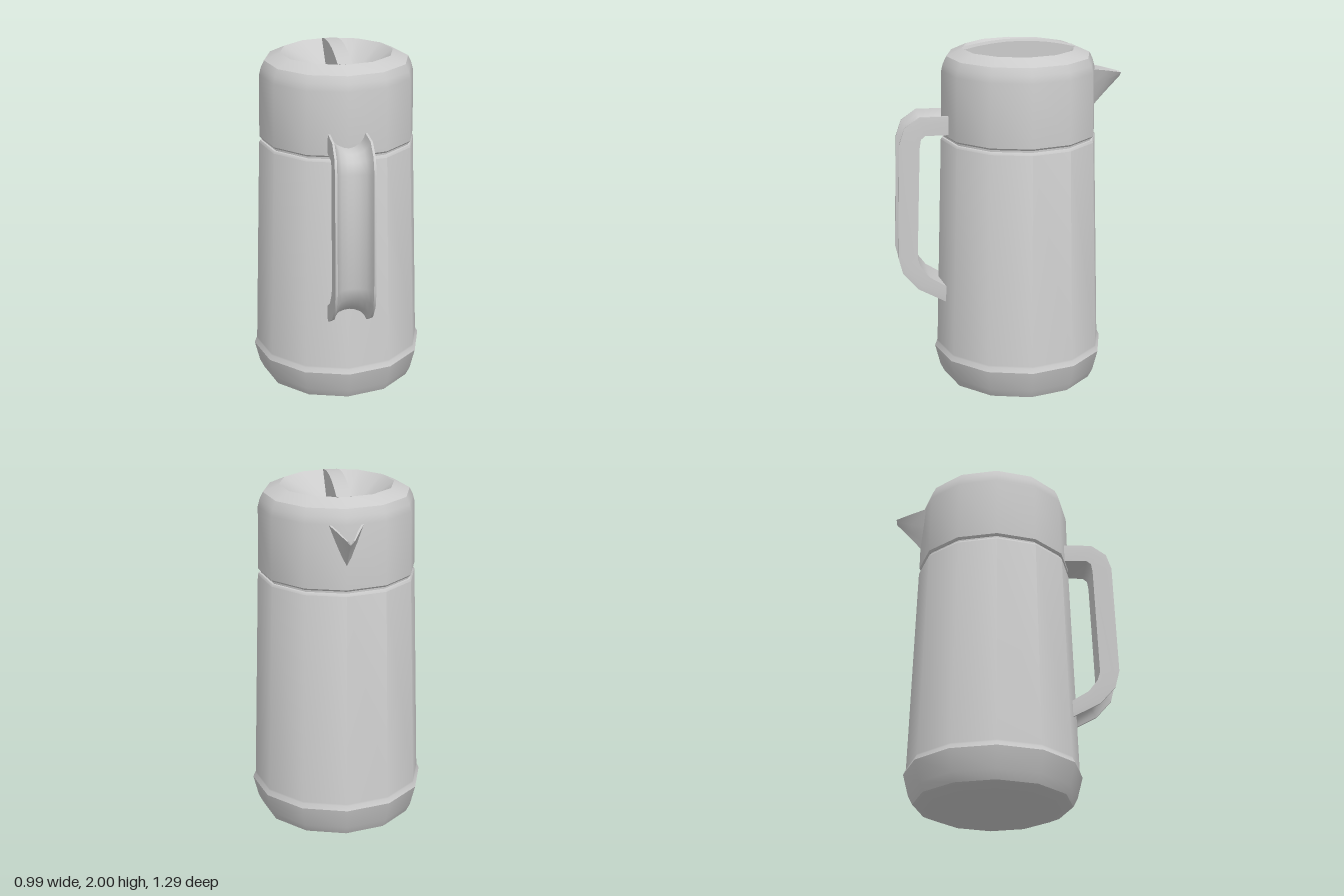
import * as THREE from 'three';
import { toCreasedNormals } from 'three/addons/utils/BufferGeometryUtils.js';

const grey = new THREE.MeshStandardMaterial({ color: 0xcccccc });
const greyDouble = new THREE.MeshStandardMaterial({ color: 0xcccccc, side: THREE.DoubleSide });
const AXIS_Z = -0.06; // the round body sits behind the handle
const SIDES = 12;

function addMesh(group, name, geometry, material = grey, crease = 0.6) {
  const mesh = new THREE.Mesh(toCreasedNormals(geometry, crease), material);
  mesh.name = name;
  group.add(mesh);
  return mesh;
}

function turned(profile) {
  return new THREE.LatheGeometry(profile.map(([r, y]) => new THREE.Vector2(r, y)), SIDES);
}

// Skin a list of closed rings of [x, y, z], with optional fan caps at both ends
function loft(rings, caps) {
  const n = rings[0].length;
  const pos = rings.flat(2);
  const index = [];
  for (let i = 0; i < rings.length - 1; i++) {
    for (let j = 0; j < n; j++) {
      const a = i * n + j, b = i * n + (j + 1) % n;
      index.push(a, b, b + n, a, b + n, a + n);
    }
  }
  if (caps) {
    [0, rings.length - 1].forEach((ring, end) => {
      const flat = rings[ring].map(([x, y]) => new THREE.Vector2(x, y));
      for (const [a, b, c] of THREE.ShapeUtils.triangulateShape(flat, [])) {
        const o = ring * n;
        index.push(o + a, o + (end ? b : c), o + (end ? c : b));
      }
    });
  }
  const geometry = new THREE.BufferGeometry();
  geometry.setAttribute('position', new THREE.Float32BufferAttribute(pos, 3));
  geometry.setIndex(index);
  return geometry;
}

// Channel-shaped grip: each station holds outer and inner [z, y] points
function handleGeometry() {
  const stations = [
    [[0.34, 1.605], [0.34, 1.5]],
    [[0.51, 1.605], [0.48, 1.5]],
    [[0.595, 1.545], [0.505, 1.48]],
    [[0.625, 1.455], [0.513, 1.43]],
    [[0.647, 0.8], [0.537, 0.79]],
    [[0.622, 0.7], [0.522, 0.74]],
    [[0.535, 0.6], [0.47, 0.67]],
    [[0.36, 0.505], [0.36, 0.6]],
  ];
  // [x, share of the way from outer to inner side]
  const half = [[0.03, 0.66], [0.065, 0.5], [0.085, 0.25], [0.095, 0], [0.107, 0], [0.11, 0.3], [0.11, 1]];
  const section = [[0, 0.7], ...half, ...half.slice().reverse().map(([x, d]) => [-x, d])];
  const rings = stations.map(([o, i], k) => {
    const wide = 1 + 0.07 * k / (stations.length - 1);
    return section.map(([x, d]) => [x * wide, o[1] + (i[1] - o[1]) * d, o[0] + (i[0] - o[0]) * d]);
  });
  return loft(rings, true);
}

// Open V-shaped lip tapering from the lid wall to a narrow tip
function spoutGeometry() {
  const stations = [ // z at rim, z at keel, rim y, keel y, half width
    [-0.455, -0.48, 1.84, 1.6, 0.098],
    [-0.55, -0.555, 1.822, 1.685, 0.06],
    [-0.645, -0.64, 1.8, 1.775, 0.022],
  ];
  const steps = [-1, -0.6, -0.25, 0, 0.25, 0.6, 1];
  const rings = stations.map(([zr, zk, yr, yk, w]) => {
    const at = (t, inset) => {
      const s = Math.abs(t) ** 1.15;
      const lift = inset * (1 - s);
      return [t * (w - inset * 0.6), yk + (yr - yk) * s + lift, zk + (zr - zk) * s];
    };
    const wall = Math.min(0.02, w * 0.5);
    return [...steps.map(t => at(t, 0)), ...steps.slice().reverse().map(t => at(t, wall))];
  });
  return loft(rings, true);
}

// Arched finger bar filling the recess from side to side
function gripBarGeometry() {
  const shape = new THREE.Shape();
  shape.moveTo(-0.16, 1.83);
  shape.lineTo(0.16, 1.83);
  for (let i = 0; i <= 8; i++) {
    const t = 1 - i / 4;
    shape.lineTo(0.312 * t, 2 - 0.04 * t * t);
  }
  shape.closePath();
  const geometry = new THREE.ExtrudeGeometry(shape, { depth: 0.08, bevelEnabled: false });
  geometry.translate(0, 0, -0.04);
  geometry.rotateY(Math.PI / 2);
  return geometry;
}

export function createModel() {
  const model = new THREE.Group();
  model.name = 'jug';

  // Body with a bulging foot and a closed shoulder under the lid
  addMesh(model, 'body', turned([
    [0, 0], [0.375, 0], [0.44, 0.03], [0.465, 0.08], [0.495, 0.2],
    [0.482, 0.226], [0.48, 0.235], [0.442, 1.45], [0.435, 1.462], [0.42, 1.464], [0, 1.464],
  ])).position.z = AXIS_Z;

  // Narrow neck that leaves a groove between body and lid
  addMesh(model, 'neck', turned([[0.425, 1.455], [0.425, 1.485]])).position.z = AXIS_Z;

  // Lid with a sunken dish in the top
  addMesh(model, 'lid', turned([
    [0, 1.476], [0.432, 1.476], [0.44, 1.486], [0.434, 1.84], [0.424, 1.88],
    [0.405, 1.92], [0.317, 1.96], [0.16, 1.84], [0, 1.83],
  ])).position.z = AXIS_Z;

  addMesh(model, 'lidGripBar', gripBarGeometry()).position.z = AXIS_Z;
  addMesh(model, 'spout', spoutGeometry(), greyDouble);
  addMesh(model, 'handle', handleGeometry(), greyDouble, 0.8);

  return model;
}
